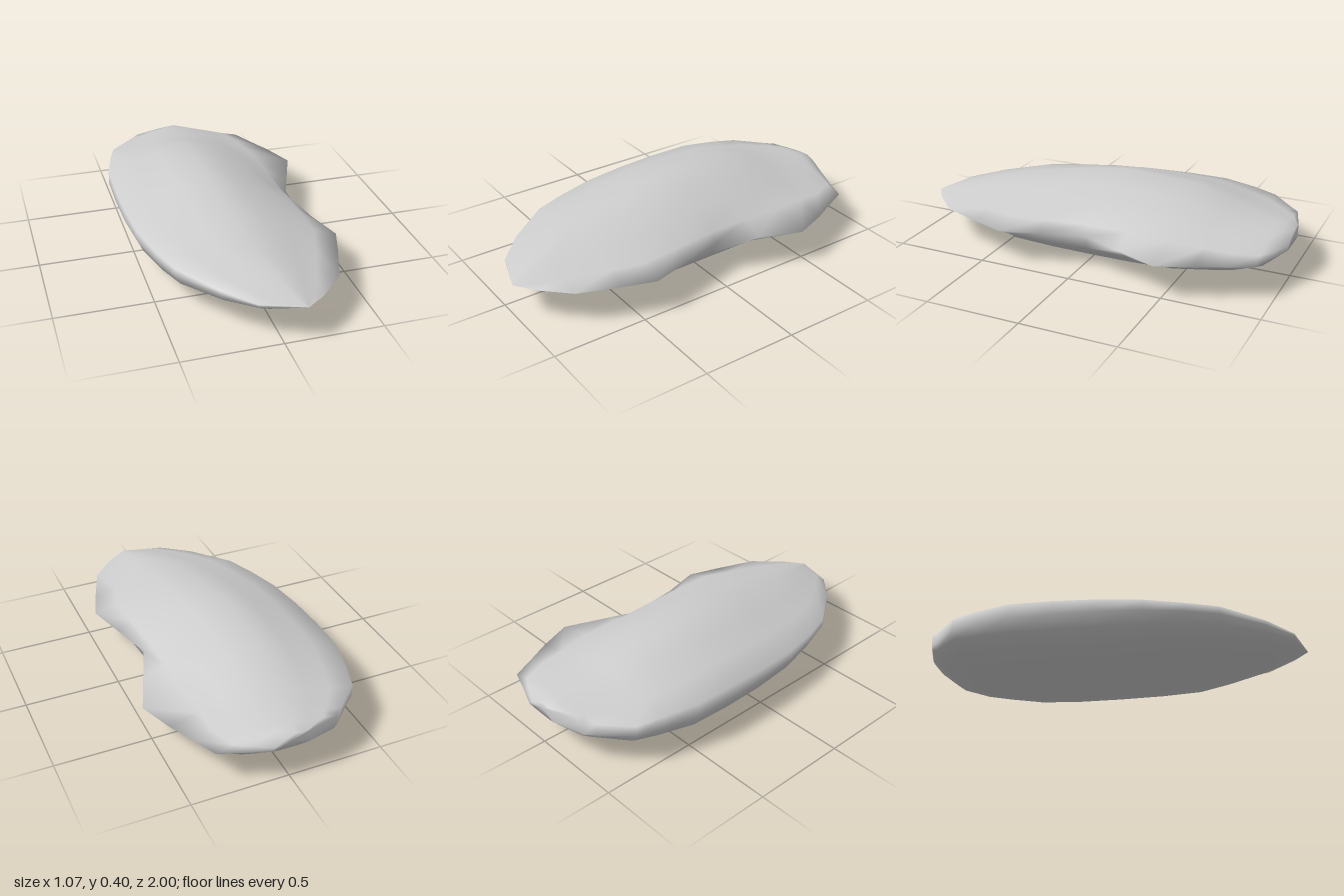
import * as THREE from 'three';

const RIM = 0.185; // height of the sharp outer rim

// z, left x, right x, inner shoulder x, crest x, top y, bottom y, blunt left height
const STATIONS = [
  [-1.0, -0.1, 0.1, 0.08, -0.03, 0.256, 0.18, 0.065],
  [-0.95, -0.27, 0.23, 0.18, -0.03, 0.268, 0.145, 0.06],
  [-0.91, -0.31, 0.34, 0.25, -0.04, 0.275, 0.12, 0.06],
  [-0.78, -0.45, 0.4, 0.3, -0.06, 0.295, 0.08, 0.06],
  [-0.65, -0.49, 0.463, 0.31, -0.08, 0.325, 0.05, 0.07],
  [-0.47, -0.535, 0.53, 0.33, -0.09, 0.38, 0.02, 0.075],
  [-0.25, -0.54, 0.445, 0.33, -0.09, 0.395, 0.007, 0.072],
  [-0.03, -0.535, 0.36, 0.335, -0.09, 0.405, 0.008, 0.065],
  [0.2, -0.515, 0.423, 0.35, -0.08, 0.373, 0.02, 0.055],
  [0.41, -0.465, 0.48, 0.36, -0.06, 0.336, 0.04, 0.045],
  [0.57, -0.41, 0.427, 0.31, -0.04, 0.305, 0.063, 0.04],
  [0.79, -0.25, 0.345, 0.23, 0.02, 0.257, 0.108, 0.025],
  [0.93, -0.105, 0.21, 0.16, 0.07, 0.212, 0.155, 0.01],
  [1.0, 0.11, 0.11, 0.11, 0.11, RIM, RIM, 0],
];

// One closed section: right rim, over the crest, left wall, under the belly
function section([z, xl, xr, xi, xc, top, bot, blunt]) {
  const mix = THREE.MathUtils.lerp;
  const up = (u) => mix(RIM, top, u);
  const down = (u) => mix(RIM, bot, u);
  const leftUp = (u) => mix(RIM + blunt, top, u);
  return [
    [xr, RIM],
    [xi, up(0.25)],
    [mix(xi, xc, 0.33), up(0.57)],
    [mix(xi, xc, 0.62), up(0.8)],
    [xc, top],
    [mix(xc, xl, 0.35), leftUp(0.67)],
    [mix(xc, xl, 0.68), leftUp(0.35)],
    [xl, RIM + blunt],
    [xl, RIM],
    [mix(xl, xc, 0.07), down(0.39)],
    [mix(xl, xc, 0.3), down(0.7)],
    [mix(xl, xc, 0.6), down(0.92)],
    [xc, down(0.98)],
    [mix(xc, xi, 0.42), bot],
    [mix(xc, xi, 0.85), down(0.78)],
    [mix(xi, xr, 0.1), down(0.42)],
  ].map(([x, y]) => [x, y, z]);
}

// Skin the sections and close the blunt back end
function loft(rings) {
  const n = rings[0].length;
  const index = [];
  for (let i = 0; i < rings.length - 1; i++) {
    for (let j = 0; j < n; j++) {
      const a = i * n + j;
      const b = i * n + ((j + 1) % n);
      index.push(a, b, a + n);
      if (i < rings.length - 2) index.push(b, b + n, a + n);
    }
  }
  const points = rings.flat();
  const hub = points.length;
  points.push([0, 0.215, -1]);
  for (let j = 0; j < n; j++) index.push(hub, (j + 1) % n, j);

  const geometry = new THREE.BufferGeometry();
  geometry.setAttribute('position', new THREE.Float32BufferAttribute(points.flat(), 3));
  geometry.setIndex(index);
  geometry.computeVertexNormals();
  return geometry;
}

export function createModel() {
  const group = new THREE.Group();
  group.name = 'kidneyShapedPebble';
  const material = new THREE.MeshStandardMaterial({ color: 0xcccccc });
  const body = new THREE.Mesh(loft(STATIONS.map(section)), material);
  body.name = 'pebbleBody';
  group.add(body);
  return group;
}
